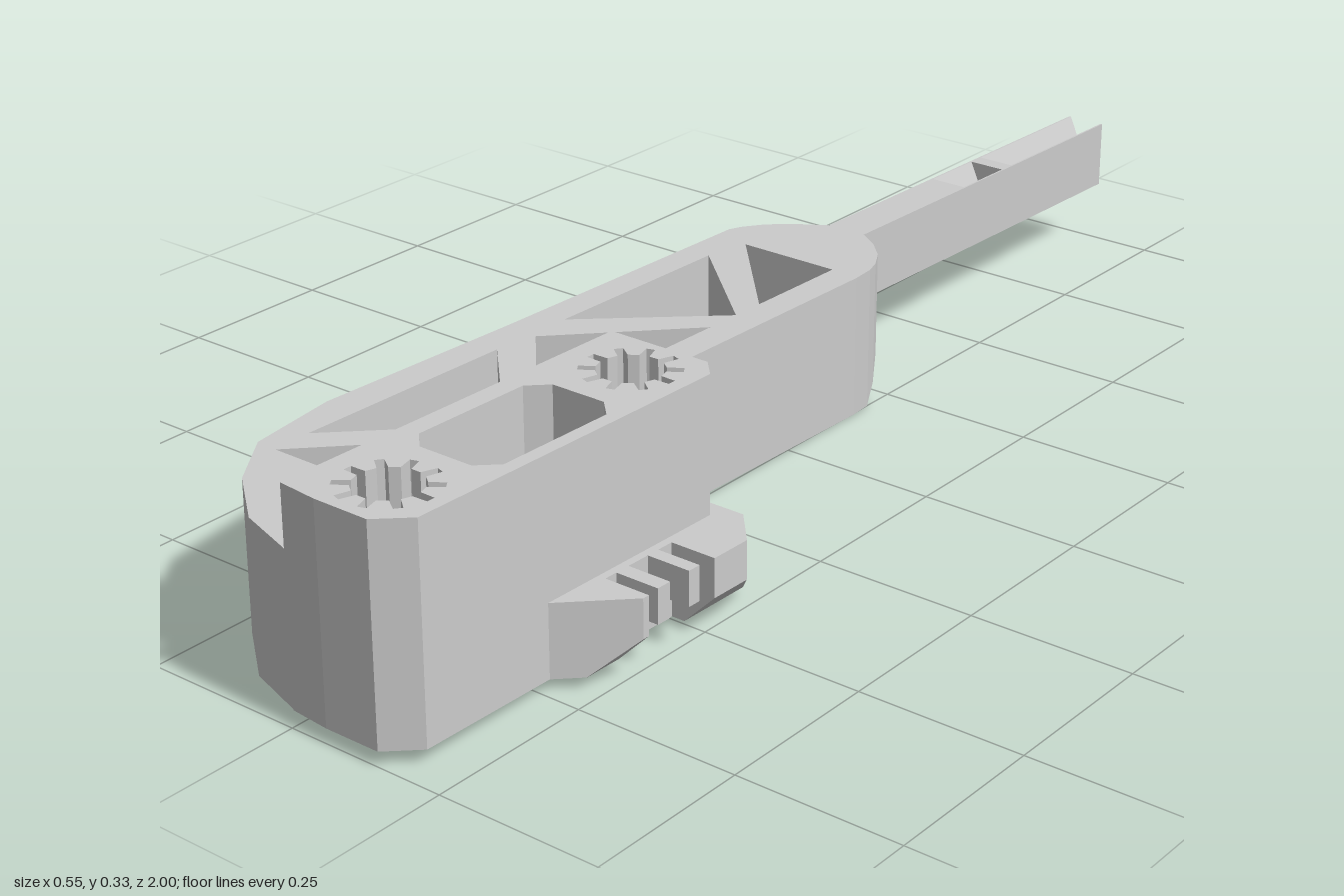
import * as THREE from 'three';

const grey = new THREE.MeshStandardMaterial({ color: 0xcccccc, flatShading: true });
const BASE = 0.0035, FRAME_TOP = 0.226, BLOCK_TOP = 0.3155, ARM_BOTTOM = 0.118;

// Plan outline given as [x, z] pairs, raised from y0 to y1.
// Outline and holes are wound in opposite directions so every wall faces outward.
function plan(outline, y0, y1, holes = []) {
  const wound = (pts, clockwise) => {
    const points = pts.map(([x, z]) => new THREE.Vector2(x, -z));
    return THREE.ShapeUtils.isClockWise(points) === clockwise ? points : points.reverse();
  };
  const shape = new THREE.Shape(wound(outline, false));
  holes.forEach((h) => shape.holes.push(new THREE.Path(wound(h, true))));
  return new THREE.ExtrudeGeometry(shape, { depth: y1 - y0, bevelEnabled: false })
    .rotateX(-Math.PI / 2).translate(0, y0, 0);
}

// Cross-section given as [x, y] pairs, run from z0 to z1.
function section(outline, z0, z1) {
  const shape = new THREE.Shape(outline.map(([x, y]) => new THREE.Vector2(x, y)));
  return new THREE.ExtrudeGeometry(shape, { depth: z1 - z0, bevelEnabled: false }).translate(0, 0, z0);
}

function reshape(geometry, rule) {
  const p = geometry.attributes.position;
  const v = new THREE.Vector3();
  for (let i = 0; i < p.count; i++) {
    rule(v.fromBufferAttribute(p, i));
    p.setXYZ(i, v.x, v.y, v.z);
  }
  geometry.computeVertexNormals();
  return geometry;
}

// Round hole with narrow slots radiating from it.
function splineHole(cx, cz, slots = 10) {
  const pts = [];
  for (let i = 0; i < slots; i++) {
    const a = (i / slots) * Math.PI * 2;
    const add = (r, d) => pts.push([cx + r * Math.cos(a + d), cz + r * Math.sin(a + d)]);
    add(0.047, -0.15);
    add(0.07, -0.09);
    add(0.07, 0.09);
    add(0.047, 0.15);
  }
  return pts;
}

export function createModel() {
  const model = new THREE.Group();
  const tilted = new THREE.Group();
  tilted.name = 'body';
  model.add(tilted);
  const add = (name, geometry) => {
    const mesh = new THREE.Mesh(geometry, grey);
    mesh.name = name;
    tilted.add(mesh);
  };

  // Truss frame with triangular openings
  add('trussFrame', plan(
    [[0, -0.2], [-0.27, -0.2], [-0.272, 0.3], [-0.279, 0.65], [-0.255, 0.797], [-0.19, 0.885],
      [-0.1, 0.957], [0, 0.99], [0.004, 0.99], [0.004, -0.16]],
    BASE, FRAME_TOP,
    [
      [[-0.21, -0.165], [-0.044, -0.165], [-0.044, 0.012]],
      [[-0.224, -0.093], [-0.044, 0.066], [-0.224, 0.234]],
      [[-0.044, 0.124], [-0.214, 0.306], [-0.044, 0.492]],
      [[-0.224, 0.375], [-0.044, 0.556], [-0.224, 0.737]],
      [[-0.048, 0.617], [-0.22, 0.799], [-0.048, 0.799]],
    ]));

  // Rounded shoulder, its underside sloping up to the arm
  add('shoulder', reshape(plan(
    [[-0.27, -0.2], [-0.262, -0.22], [-0.24, -0.252], [-0.205, -0.283], [-0.16, -0.312],
      [-0.093, -0.312], [-0.058, -0.288], [-0.028, -0.258], [-0.009, -0.226], [0, -0.2]],
    BASE, FRAME_TOP),
  (v) => {
    if (v.y < 0.1) v.y += ((-0.2 - v.z) / 0.112) * (ARM_BOTTOM - BASE);
  }));

  // Tall block with two splined holes and an eight-sided window
  add('mountingBlock', plan(
    [[-0.003, 0.385], [0.163, 0.385], [0.191, 0.414], [0.191, 0.955], [0.148, 0.996],
      [0.06, 0.996], [-0.003, 0.99]],
    BASE, BLOCK_TOP,
    [
      splineHole(0.1, 0.466),
      splineHole(0.1, 0.911),
      [[0.055, 0.568], [0.142, 0.568], [0.17, 0.595], [0.17, 0.785], [0.142, 0.812],
        [0.055, 0.812], [0.028, 0.785], [0.028, 0.595]],
    ]));

  // Arm: solid and grooved lengths
  const l = -0.161, r = -0.095;
  const solid = [[l, ARM_BOTTOM], [r, ARM_BOTTOM], [r, FRAME_TOP], [l, FRAME_TOP]];
  const grooved = [[l, ARM_BOTTOM], [r, ARM_BOTTOM], [r, FRAME_TOP], [r - 0.003, FRAME_TOP],
    [-0.123, 0.172], [-0.133, 0.172], [l + 0.003, FRAME_TOP], [l, FRAME_TOP]];
  add('arm', section(solid, -0.588, -0.312));
  add('grooveInner', section(grooved, -0.697, -0.588));
  add('grooveRib', section(solid, -0.724, -0.697));
  add('grooveOuter', section(grooved, -0.998, -0.724));

  // Side clip: two chamfered jaws with thin teeth between them
  const top = 0.112;
  const jaw = [[0.19, BASE], [0.224, BASE], [0.275, 0.054], [0.275, top], [0.224, top], [0.19, top]];
  add('rearJaw', reshape(section(jaw, 0.385, 0.508), (v) => {
    if (v.z < 0.45) v.z += Math.max(0, v.x - 0.224) * 1.1;
  }));
  add('frontJaw', reshape(section(jaw, 0.639, 0.735), (v) => {
    if (v.z > 0.7) v.z -= v.x - 0.19;
  }));
  // Fills the corner between the block's rear chamfer and the clip
  add('clipRoot', plan([[0.155, 0.385], [0.19, 0.385], [0.19, 0.42]], BASE, top));
  add('clipWall', section([[0.185, BASE], [0.203, BASE], [0.203, top], [0.185, top]], 0.5, 0.645));
  for (const [z0, z1] of [[0.535, 0.556], [0.594, 0.618]]) {
    add('clipTooth', section([[0.2, 0.06], [0.272, 0.06], [0.272, top], [0.2, top]], z0, z1));
  }

  // Slight pitch of the whole piece
  tilted.rotation.x = -0.0175;
  tilted.position.z = 0.003;
  return model;
}
